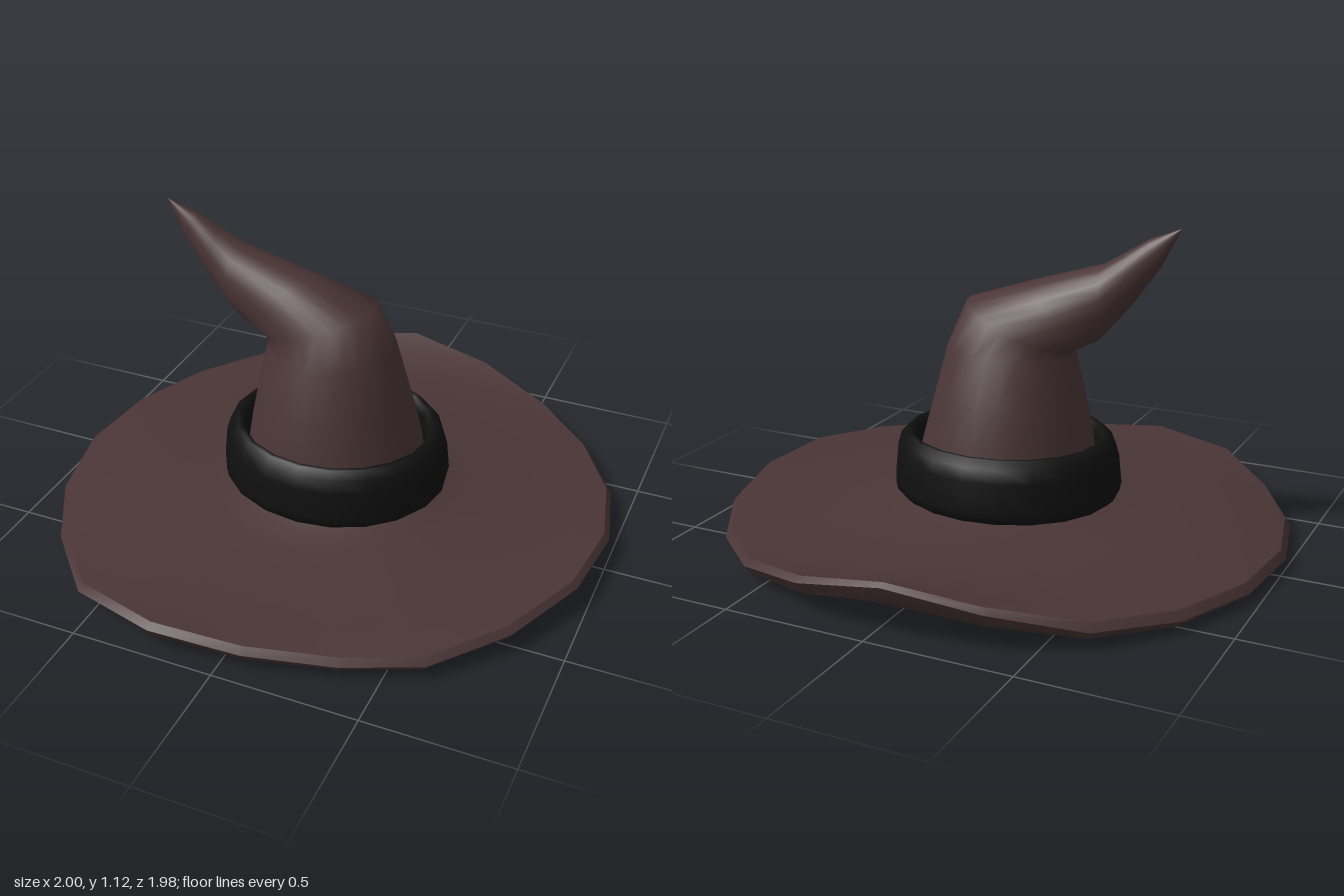
import * as THREE from 'three';
import { toCreasedNormals } from 'three/addons/utils/BufferGeometryUtils.js';

// Rim outline seen from above: [x, z, height], running from the back round the left side
const RIM = [
  [-0.06, -0.99, 0.19], [0.26, -0.96, 0.13], [0.55, -0.825, 0.075], [0.77, -0.625, 0.06],
  [0.93, -0.355, 0.07], [0.995, -0.06, 0.09], [0.965, 0.25, 0.1], [0.83, 0.53, 0.08],
  [0.625, 0.755, 0.06], [0.375, 0.865, 0.06], [0.08, 0.95, 0.075], [-0.23, 0.985, 0.1],
  [-0.545, 0.885, 0.08], [-0.78, 0.625, 0.05], [-0.935, 0.35, 0.045], [-1.0, 0.06, 0.045],
  [-0.97, -0.25, 0.045], [-0.845, -0.54, 0.05], [-0.64, -0.77, 0.07], [-0.37, -0.93, 0.14],
];

// Crown sections: right end x, y; left end x, y; half depth; z centre
const CROWN = [
  [-0.35, 0.16, 0.35, 0.16, 0.33, 0], [-0.32, 0.24, 0.32, 0.24, 0.32, 0],
  [-0.3, 0.37, 0.29, 0.37, 0.3, 0], [-0.27, 0.53, 0.25, 0.52, 0.26, 0],
  [-0.24, 0.67, 0.21, 0.68, 0.21, 0], [-0.25, 0.69, 0.14, 0.84, 0.168, 0],
  [-0.33, 0.73, -0.1, 0.92, 0.127, 0.01], [-0.37, 0.775, -0.35, 0.997, 0.095, 0.02],
  [-0.45, 0.87, -0.42, 1.04, 0.068, 0.025], [-0.54, 1.0, -0.5, 1.09, 0.037, 0.035],
  [-0.605, 1.13, -0.605, 1.13, 0, 0.04],
];

// Skin closed rings of [x, y, z] points
function loft(rings) {
  const n = rings[0].length, index = [];
  for (let i = 0; i < rings.length - 1; i++) {
    for (let j = 0; j < n; j++) {
      const a = i * n + j, c = i * n + (j + 1) % n;
      index.push(a, a + n, c, c, a + n, c + n);
    }
  }
  const geo = new THREE.BufferGeometry();
  geo.setAttribute('position', new THREE.Float32BufferAttribute(rings.flat(2), 3));
  geo.setIndex(index);
  geo.computeVertexNormals();
  return geo;
}

// Ring of the brim: t = 0 at the crown, 1 at the rim; height depends on rim height and angle
function brimRing(t, height) {
  return RIM.map(([x, z, rim]) => {
    const a = Math.atan2(z, x);
    return [
      THREE.MathUtils.lerp(Math.cos(a) * 0.36, x, t),
      height(rim, a),
      THREE.MathUtils.lerp(Math.sin(a) * 0.33, z, t),
    ];
  });
}

function brimGeometry() {
  const rings = [];
  // Head opening, flaring down into the underside
  for (const [t, y] of [[-0.1, 0.36], [-0.075, 0.24], [-0.05, 0.13], [-0.02, 0.08]]) {
    rings.push(brimRing(t, () => y));
  }
  // Underside, sagging a little at the front
  for (const [t, y] of [[0.06, 0.055], [0.2, 0.042], [0.4, 0.033], [0.6, 0.028], [0.8, 0.025], [0.955, 0.025]]) {
    rings.push(brimRing(t, (rim, a) =>
      y + (rim - 0.055) * t ** 5 - 0.09 * t * (1 - t) * Math.max(0, Math.sin(a)) ** 4));
  }
  // Bevelled edge
  rings.push(brimRing(1, (rim) => rim));
  // Upper side, rising to the crown and fuller on the right
  for (const t of [0.97, 0.8, 0.6, 0.4, 0.2, 0.08, 0]) {
    rings.push(brimRing(t, (rim, a) =>
      0.158 - 0.073 * t ** 0.6 + (rim - 0.06) * t ** 4
      + 0.08 * t * (1 - t) * Math.max(0, -Math.cos(a))));
  }
  return toCreasedNormals(loft(rings), 0.65);
}

function crownGeometry(sides = 24) {
  return loft(CROWN.map(([x0, y0, x1, y1, depth, zc]) =>
    Array.from({ length: sides }, (_, j) => {
      const a = (j / sides) * Math.PI * 2, s = (1 + Math.cos(a)) / 2;
      return [x0 + (x1 - x0) * s, y0 + (y1 - y0) * s, zc + Math.sin(a) * depth];
    })));
}

function bandGeometry() {
  const profile = [
    [0.335, 0.165], [0.38, 0.15], [0.402, 0.17], [0.408, 0.2], [0.398, 0.3],
    [0.385, 0.345], [0.36, 0.372], [0.34, 0.37], [0.325, 0.345], [0.32, 0.25], [0.335, 0.165],
  ].map(([r, y]) => new THREE.Vector2(r, y));
  return new THREE.LatheGeometry(profile, 20).scale(1, 1, 0.9);
}

export function createModel() {
  const hat = new THREE.Group();
  hat.name = 'pointedHat';
  const felt = new THREE.MeshStandardMaterial({ color: 0x4a3535, side: THREE.DoubleSide });
  const ribbon = new THREE.MeshStandardMaterial({ color: 0x101010 });
  const add = (name, geometry, material) => {
    const mesh = new THREE.Mesh(geometry, material);
    mesh.name = name;
    hat.add(mesh);
  };
  add('brim', brimGeometry(), felt);
  add('crown', crownGeometry(), felt);
  add('band', bandGeometry(), ribbon);
  return hat;
}
